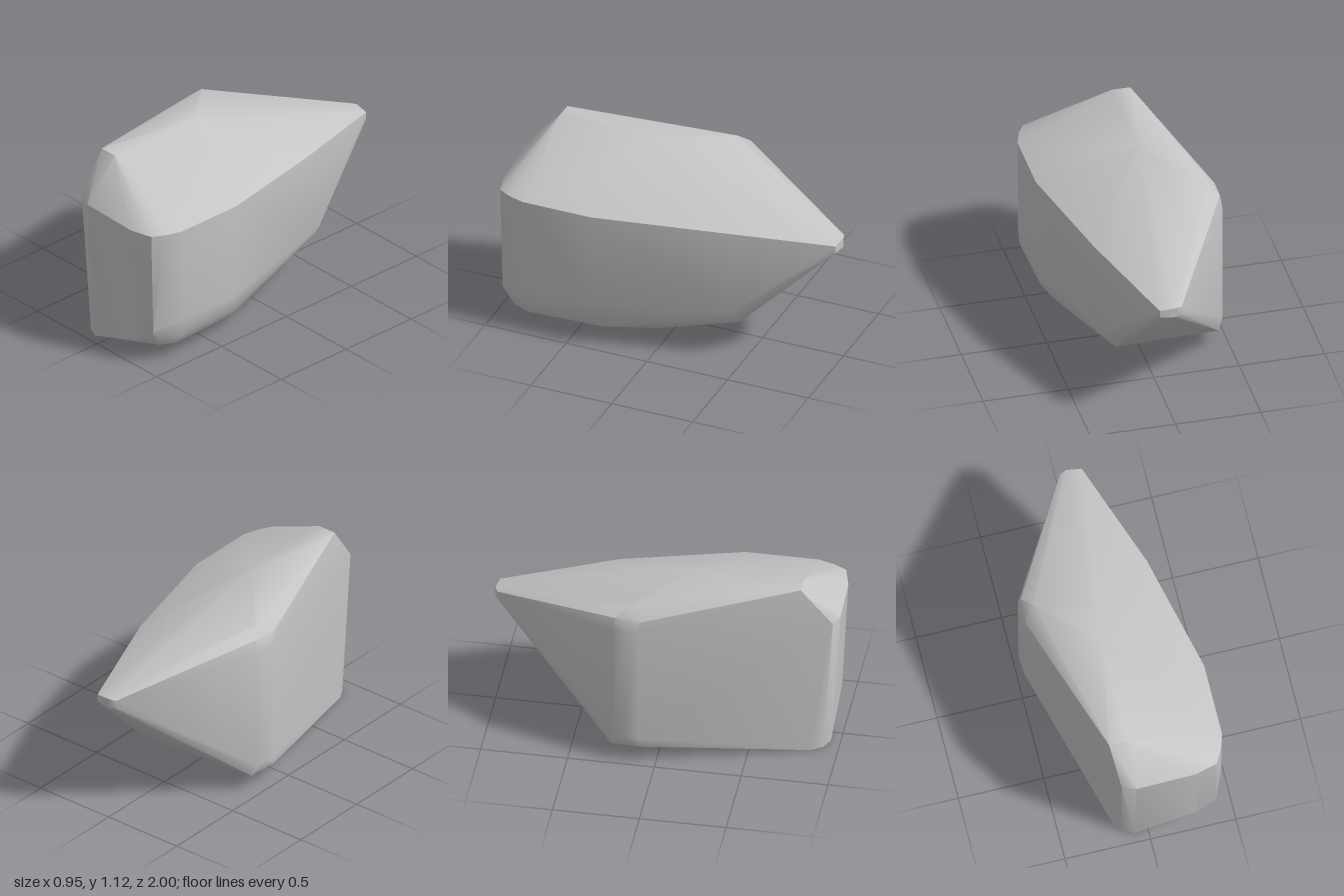
import * as THREE from 'three';
import { ConvexGeometry } from 'three/addons/geometries/ConvexGeometry.js';
import { toCreasedNormals } from 'three/addons/utils/BufferGeometryUtils.js';

// Corner points of the faceted boulder, grouped by region
const corners = {
  topRidge: [[-0.19, 1.12, 0.79], [-0.08, 1.12, 0.79], [-0.08, 1.12, 0.18], [-0.4, 1.04, -0.17]],
  frontFace: [
    [-0.16, 0.88, 0.97], [-0.08, 0.88, 1], [0.27, 0.855, 0.985], [0.4, 0.855, 0.95],
    [-0.19, 0, 0.84], [-0.15, 0, 0.91], [-0.08, 0, 0.945], [0.29, 0.12, 0.945], [0.4, 0.22, 0.935],
  ],
  rightWall: [
    [0.44, 0.855, 0.88], [0.472, 0.855, 0.78], [0.472, 0.855, 0.36], [0.31, 0.835, -0.34],
    [0.472, 0.27, 0.77], [0.472, 0.27, 0.38], [0.46, 0.17, 0.78], [0.45, 0.17, 0.36],
    [0.38, 0.105, 0.87], [0.42, 0.1, 0.77], [0.39, 0.095, 0.31], [0.29, 0.1, 0.02], [0.29, 0.32, -0.44],
  ],
  leftWall: [
    [-0.462, 0.98, -0.09], [-0.455, 0.99, -0.23], [-0.472, 0.91, -0.1], [-0.478, 0.91, -0.18],
    [-0.465, 0.91, -0.25], [-0.472, 0.17, -0.1], [-0.478, 0.17, -0.18], [-0.465, 0.17, -0.25],
    [-0.462, 0.105, -0.09],
  ],
  underside: [
    [-0.08, 0, 0.2], [-0.4, 0.07, -0.17], [-0.44, 0.095, -0.26], [0.21, 0.21, -0.45],
  ],
  backTip: [
    [-0.04, 0.78, -0.985], [0, 0.785, -1], [0.09, 0.775, -0.99],
    [-0.035, 0.73, -0.985], [0, 0.725, -1], [0.09, 0.73, -0.99],
  ],
};

export function createModel() {
  const group = new THREE.Group();
  group.name = 'rock';

  const stone = new THREE.MeshStandardMaterial({ color: 0xc5c5c5 });
  stone.name = 'stone grey';

  // Solid boulder: softly shaded facets with sharp main edges
  const points = Object.values(corners).flat().map((p) => new THREE.Vector3(...p));
  const boulder = new THREE.Mesh(toCreasedNormals(new ConvexGeometry(points), Math.PI * 0.22), stone);
  boulder.name = 'boulder';
  group.add(boulder);
  return group;
}
